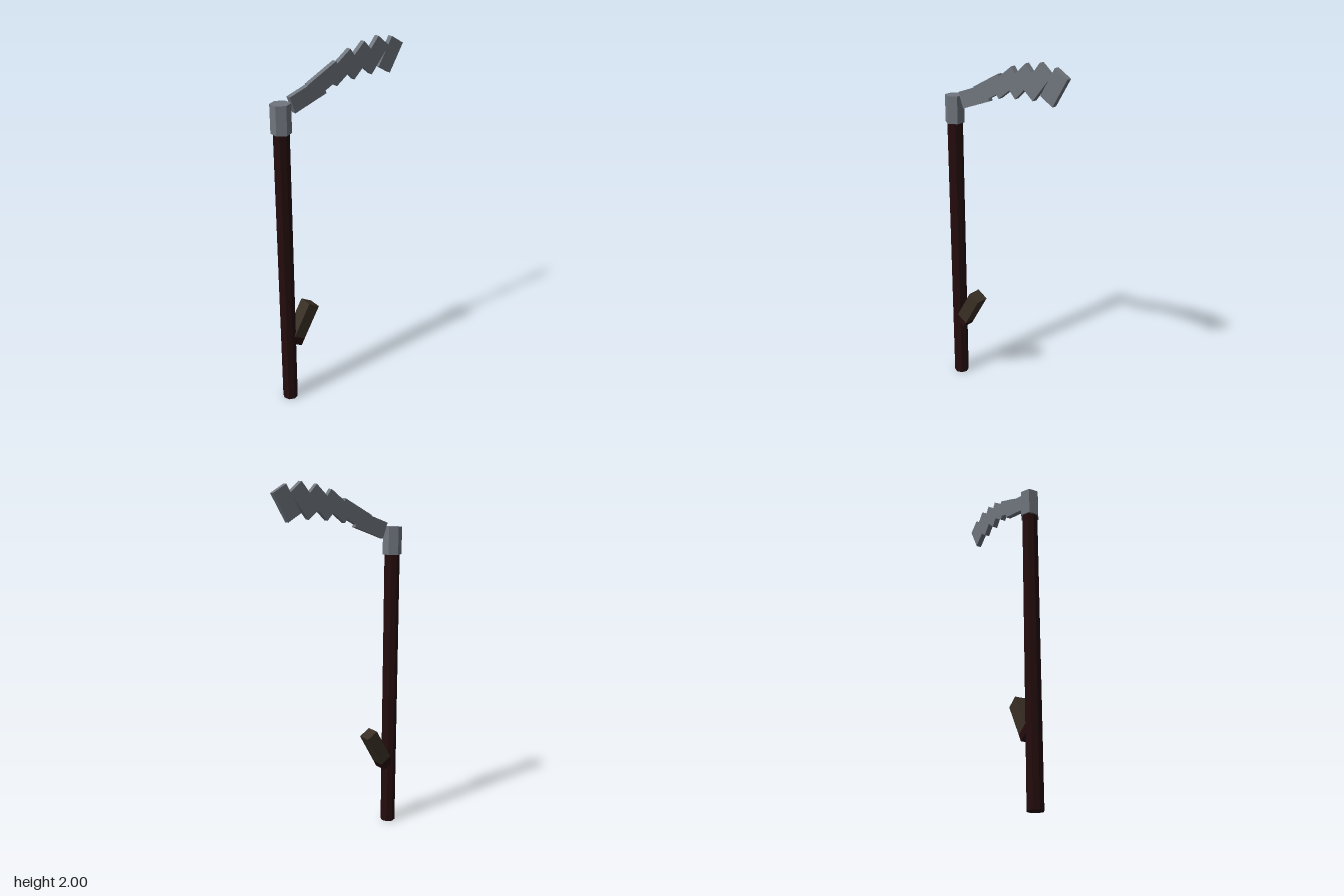
import * as THREE from 'three';

const mat = (name, color) => {
  const m = new THREE.MeshStandardMaterial({ color, flatShading: true });
  m.name = name;
  return m;
};

export function createModel() {
  const group = new THREE.Group();
  group.name = 'scythe';
  const steel = mat('steel', 0x70767e);
  const darkWood = mat('darkWood', 0x240c0d);
  const gripBrown = mat('gripBrown', 0x392f25);

  const add = (name, geometry, material, x, y, angle = 0) => {
    const mesh = new THREE.Mesh(geometry, material);
    mesh.name = name;
    mesh.position.set(x, y, 0);
    mesh.rotation.z = THREE.MathUtils.degToRad(angle);
    group.add(mesh);
    return mesh;
  };

  // Straight eight-sided pole and six-sided collar on its top
  const poleX = -0.36;
  add('pole', new THREE.CylinderGeometry(0.0425, 0.0425, 1.6, 8), darkWood, poleX, 0.8);
  add('collar', new THREE.CylinderGeometry(0.053, 0.053, 0.151, 6), steel, poleX, 1.6755);

  // Side handle: a short wooden root with a brown grip above it, leaning 30 degrees
  const root = new THREE.Vector2(-0.331, 0.362);
  const handlePart = (name, from, to, material) => {
    const mid = (from + to) / 2, a = Math.PI / 6;
    add(name, new THREE.BoxGeometry(0.0745, to - from, 0.077), material,
      root.x + Math.sin(a) * mid, root.y + Math.cos(a) * mid, -30);
  };
  handlePart('handleRoot', 0, 0.043, darkWood);
  handlePart('handleGrip', 0.043, 0.2445, gripBrown);

  // Blade of overlapping plates: upper tip corner x, y, tilt, length, height
  const plates = [
    [-0.126, 1.843, 20, 0.2, 0.09],
    [-0.034, 1.91, 28, 0.195, 0.09],
    [0.055, 1.959, 37, 0.173, 0.09],
    [0.144, 1.985, 44, 0.175, 0.09],
    [0.235, 2.0, 51, 0.175, 0.09],
    [0.325, 1.987, 60, 0.168, 0.088],
  ];
  plates.forEach(([x, y, tilt, length, height], i) => {
    const a = THREE.MathUtils.degToRad(tilt), c = Math.cos(a), s = Math.sin(a);
    add(`bladePlate${i + 1}`, new THREE.BoxGeometry(length, height, 0.029), steel,
      x - (length * c) / 2 + (height * s) / 2, y - (length * s) / 2 - (height * c) / 2, tilt);
  });

  return group;
}
